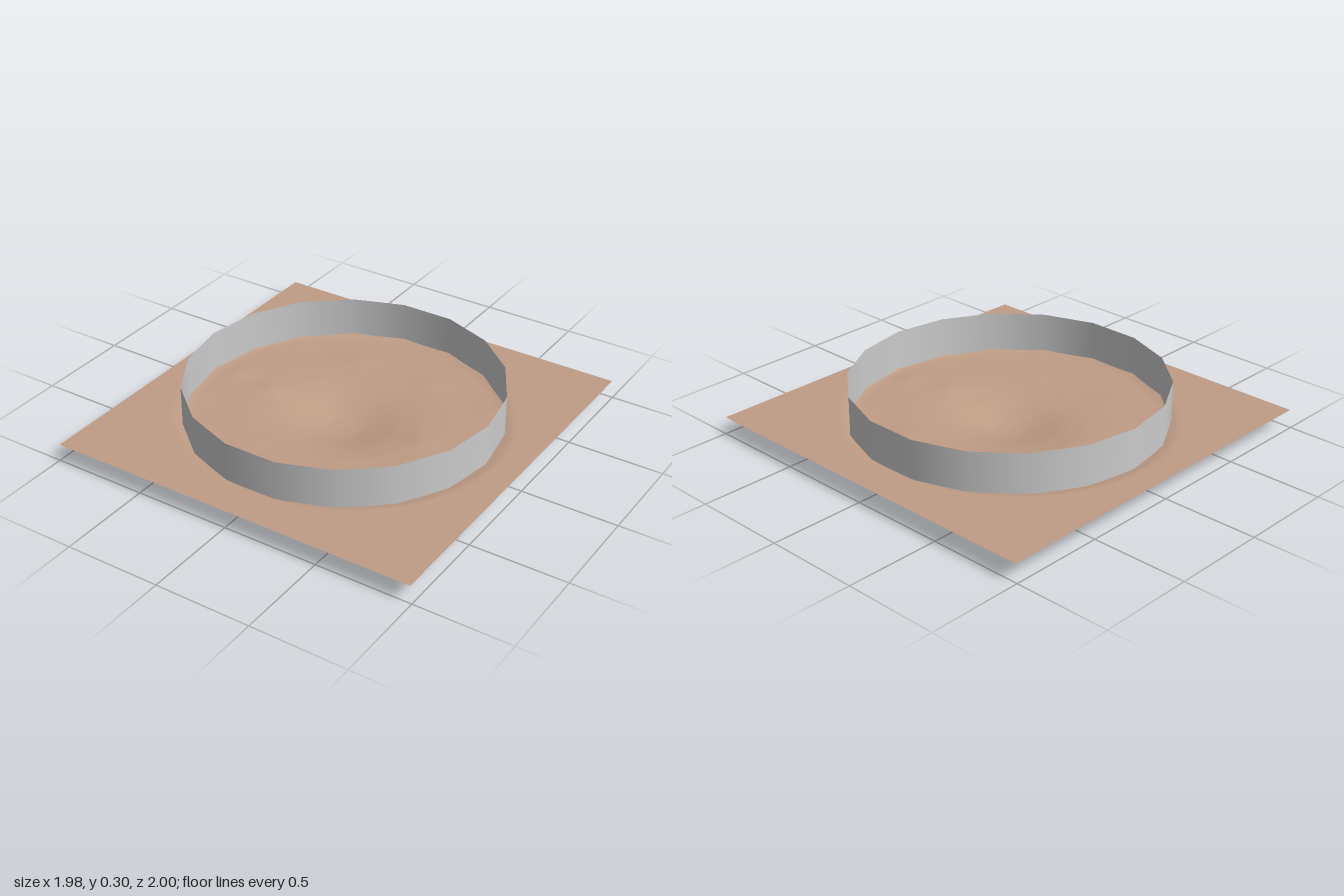
import * as THREE from 'three';

const LEVEL = 0.095;

// Height of the sunken bowl against normalised radius: [radius, y]
const PROFILE = [[0, 0], [0.1, 0.006], [0.2, 0.024], [0.3, 0.046], [0.36, 0.056], [0.46, 0.068],
  [0.6, 0.075], [0.8, 0.077], [0.92, 0.079], [1, LEVEL]];

function bowlHeight(t) {
  if (t >= 1) return LEVEL;
  let i = 0;
  while (t > PROFILE[i + 1][0]) i++;
  const [r0, y0] = PROFILE[i], [r1, y1] = PROFILE[i + 1];
  return y0 + (y1 - y0) * (t - r0) / (r1 - r0);
}

// Soft mounds and hollows, mirrored left and right: [x, z, radius, height]
const BUMPS = [[0.68, -0.05, 0.09, 0.008], [0.45, 0, 0.1, 0.008], [0.22, -0.5, 0.1, 0.006],
  [0.6, 0.3, 0.14, -0.004], [0.25, 0.48, 0.12, 0.004], [0.45, -0.45, 0.12, -0.004]];

function groundHeight(x, z) {
  const t = Math.hypot(x / 0.85, z / 0.82);
  let y = bowlHeight(t);
  if (t < 1) {
    const fade = Math.min(1, (1 - t) * 6);
    for (const [bx, bz, r, h] of BUMPS) {
      const d = Math.hypot(Math.abs(x) - bx, z - bz) / r;
      y += fade * h * Math.exp(-d * d * 2);
    }
  }
  return Math.max(0, Math.min(LEVEL, y));
}

export function createModel() {
  const model = new THREE.Group();

  // Flat square ground with a shallow bowl pressed into it
  const ground = new THREE.PlaneGeometry(1.98, 2, 100, 100).rotateX(-Math.PI / 2);
  const p = ground.attributes.position;
  for (let i = 0; i < p.count; i++) p.setY(i, groundHeight(p.getX(i), p.getZ(i)));
  ground.computeVertexNormals();
  const groundMesh = new THREE.Mesh(ground,
    new THREE.MeshStandardMaterial({ color: 0xc09d86, side: THREE.DoubleSide }));
  groundMesh.name = 'ground';
  model.add(groundMesh);

  // Thin open wall around the bowl, 18 sides with corners on the x axis
  const wall = new THREE.CylinderGeometry(0.805, 0.805, 0.24, 18, 1, true, Math.PI / 2);
  wall.translate(0, 0.176, 0);
  const wallMesh = new THREE.Mesh(wall,
    new THREE.MeshStandardMaterial({ color: 0xcccccc, side: THREE.DoubleSide }));
  wallMesh.name = 'ringWall';
  model.add(wallMesh);

  return model;
}
